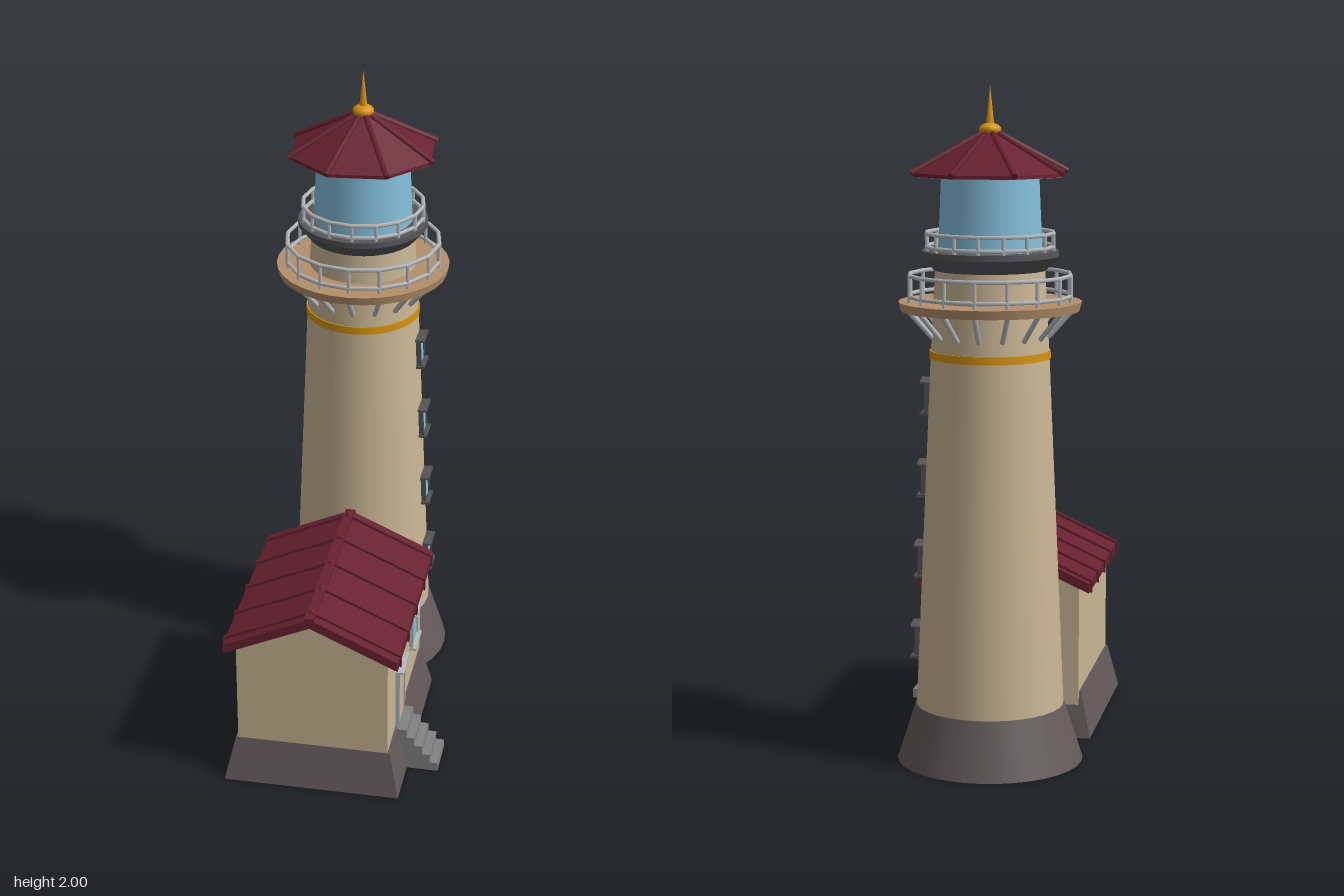
import * as THREE from 'three';

const mat = (name, color, extra = {}) => Object.assign(new THREE.MeshStandardMaterial({ color, ...extra }), { name });

export function createModel() {
  const M = {
    wall: mat('sandstone', 0xcbb795),
    stone: mat('dark stone', 0x64595b),
    roof: mat('dark red roof', 0x682130),
    deck: mat('tan deck', 0xb5906a),
    glass: mat('blue glass', 0x84c0dd),
    metal: mat('light grey metal', 0xb6babd),
    gold: mat('gold', 0xd4920f),
    dark: mat('dark grey trim', 0x555457),
    step: mat('step grey', 0x838383),
  };
  const model = new THREE.Group();
  model.name = 'lighthouse';

  const add = (parent, name, geo, m, x = 0, y = 0, z = 0) => {
    const mesh = new THREE.Mesh(geo, m);
    mesh.name = name;
    mesh.position.set(x, y, z);
    parent.add(mesh);
    return mesh;
  };
  const group = (name, parent, x = 0, y = 0, z = 0) => {
    const g = new THREE.Group();
    g.name = name;
    g.position.set(x, y, z);
    parent.add(g);
    return g;
  };
  // Round tier from y0 to y1
  const tier = (parent, name, r0, r1, y0, y1, m, n = 32) =>
    add(parent, name, new THREE.CylinderGeometry(r1, r0, y1 - y0, n), m, 0, (y0 + y1) / 2, 0);
  // Round bar between two points
  const bar = (parent, name, a, b, r, m, n = 6) => {
    const d = b.clone().sub(a);
    const mesh = add(parent, name, new THREE.CylinderGeometry(r, r, d.length(), n), m);
    mesh.position.copy(a).addScaledVector(d, 0.5);
    mesh.quaternion.setFromUnitVectors(new THREE.Vector3(0, 1, 0), d.normalize());
    return mesh;
  };
  const polar = (r, y, a) => new THREE.Vector3(Math.sin(a) * r, y, Math.cos(a) * r);
  const extrude = (pts, depth) => new THREE.ExtrudeGeometry(
    new THREE.Shape(pts.map(p => new THREE.Vector2(...p))), { depth, bevelEnabled: false });

  // ---- Tower ----
  const tower = group('tower', model, -0.05, 0, -0.3);
  tier(tower, 'towerBase', 0.277, 0.222, 0, 0.17, M.stone);
  tier(tower, 'towerShaft', 0.219, 0.174, 0.17, 1.21, M.wall);
  tier(tower, 'goldBand', 0.178, 0.177, 1.207, 1.23, M.gold);
  tier(tower, 'towerNeck', 0.173, 0.16, 1.23, 1.47, M.wall);
  tier(tower, 'galleryDeck', 0.262, 0.268, 1.347, 1.373, M.deck);
  tier(tower, 'lanternCollar', 0.165, 0.198, 1.465, 1.505, M.dark);
  tier(tower, 'lanternDeck', 0.2, 0.2, 1.505, 1.522, M.dark);
  tier(tower, 'lanternGlass', 0.154, 0.144, 1.522, 1.75, M.glass, 16);

  // Sloping brackets under the gallery
  for (let i = 0; i < 16; i++) {
    const a = i * Math.PI / 8;
    bar(tower, 'galleryBracket', polar(0.172, 1.27, a), polar(0.243, 1.35, a), 0.008, M.metal);
  }

  // Railings
  const railing = (name, r, y0, y1, n) => {
    const g = group(name, tower);
    for (const y of [y0 + (y1 - y0) * 0.25, y1]) {
      const rail = add(g, 'rail', new THREE.TorusGeometry(r, 0.0065, 6, n), M.metal, 0, y, 0);
      rail.rotation.x = Math.PI / 2;
    }
    for (let i = 0; i < n; i++) {
      const a = i * 2 * Math.PI / n + Math.PI / 2;
      bar(g, 'post', polar(r, y0, a), polar(r, y1, a), 0.006, M.metal);
    }
  };
  railing('galleryRailing', 0.238, 1.37, 1.45, 16);
  railing('lanternRailing', 0.187, 1.52, 1.572, 16);

  // Eight-sided roof with ridge ribs and finial
  const turn = 27.7 * Math.PI / 180;
  const cone = (name, r0, r1, y0, y1, m, open) => add(tower, name,
    new THREE.CylinderGeometry(r1, r0, y1 - y0, 8, 1, open, turn).toNonIndexed(), m, 0, (y0 + y1) / 2, 0)
    .geometry.computeVertexNormals();
  cone('lanternRoof', 0.23, 0.022, 1.748, 1.86, M.roof, true);
  cone('roofEave', 0.23, 0.23, 1.738, 1.748, M.roof, true);
  cone('roofUnderside', 0.229, 0.229, 1.737, 1.741, M.deck, false);
  for (let i = 0; i < 8; i++) {
    const a = turn + i * Math.PI / 4;
    bar(tower, 'roofRib', polar(0.236, 1.748, a), polar(0.02, 1.862, a), 0.009, M.roof);
  }
  add(tower, 'finialBall', new THREE.SphereGeometry(0.033, 16, 10), M.gold, 0, 1.87, 0).scale.y = 0.6;
  add(tower, 'finialSpike', new THREE.ConeGeometry(0.013, 0.125, 10), M.gold, 0, 1.9375, 0);

  // ---- Openings, built facing +z and turned to +x ----
  const opening = (name, parent, w, h, fill, trim, t, x, y, z, sill = true) => {
    const g = group(name, parent, x, y, z);
    g.rotation.y = Math.PI / 2;
    add(g, 'pane', new THREE.BoxGeometry(w, h, 0.009), fill, 0, h / 2, 0.003);
    for (const s of [-1, 1])
      add(g, 'jamb', new THREE.BoxGeometry(t, h, 0.024), trim, s * (w + t) / 2, h / 2, 0);
    if (sill) add(g, 'sill', new THREE.BoxGeometry(w + 4 * t, t * 1.3, 0.044), trim, 0, 0, 0);
    const e = w / 2 + 2 * t;
    const hood = [[-e, 0], [e, 0], [e, 0.006], [e * 0.5, 0.014], [0, 0.017], [-e * 0.5, 0.014], [-e, 0.006]];
    add(g, 'hood', extrude(hood, 0.045), trim, 0, h, -0.02);
    return g;
  };
  const slope = 0.045 / 1.04;
  for (const y of [0.305, 0.55, 0.795, 1.04]) {
    const r = 0.219 - slope * (y + 0.05 - 0.17);
    const w = opening('towerWindow', tower, 0.06, 0.088, M.glass, M.dark, 0.006, r + 0.002, y, 0);
    w.rotation.order = 'YXZ';
    w.rotation.x = -slope;
  }

  // ---- House ----
  const house = group('house', model, -0.048, 0, 0);
  // Plinth with sloping sides
  const plinth = (name, w, d, inset, h, z, insetZ = inset) => {
    const geo = new THREE.BoxGeometry(w, h, d);
    const p = geo.attributes.position;
    for (let i = 0; i < p.count; i++) if (p.getY(i) > 0) {
      p.setX(i, p.getX(i) * (1 - 2 * inset / w));
      p.setZ(i, p.getZ(i) * (1 - 2 * insetZ / d));
    }
    geo.computeVertexNormals();
    add(house, name, geo, M.stone, 0, h / 2, z);
  };
  // Gabled wall block and folded roof slab, both running along z
  const gable = (name, w, eave, ridge, z0, z1) => add(house, name,
    extrude([[-w, 0.1], [w, 0.1], [w, eave], [0, ridge], [-w, eave]], z1 - z0), M.wall, 0, 0, z0);
  const slab = (name, w, eave, ridge, t, z0, z1) => add(house, name,
    extrude([[-w, eave - t], [0, ridge - t], [w, eave - t], [w, eave], [0, ridge], [-w, eave]], z1 - z0),
    M.roof, 0, 0, z0);

  plinth('housePlinth', 0.54, 0.647, 0.032, 0.14, 0.2535);
  gable('houseWalls', 0.231, 0.475, 0.585, -0.05, 0.545);
  slab('houseRoof', 0.265, 0.488, 0.608, 0.03, -0.075, 0.572);
  for (const z of [-0.04, 0.1, 0.247, 0.395, 0.533])
    slab('roofSeam', 0.27, 0.494, 0.617, 0.04, z - 0.008, z + 0.008);
  add(house, 'ridgeCap', new THREE.BoxGeometry(0.03, 0.014, 0.647), M.roof, 0, 0.605, 0.2485);

  // Passage joining house and tower
  plinth('passagePlinth', 0.34, 0.14, 0.03, 0.14, -0.07, 0);
  gable('passageWalls', 0.135, 0.4, 0.49, -0.15, -0.04);
  slab('passageRoof', 0.17, 0.412, 0.515, 0.028, -0.118, -0.04);

  // Door, window and steps on the left side
  opening('houseDoor', house, 0.095, 0.2, M.wall, M.metal, 0.005, 0.232, 0.138, 0.353, false);
  opening('houseWindow', house, 0.085, 0.118, M.glass, M.metal, 0.006, 0.232, 0.267, 0.11);
  const steps = group('doorSteps', model);
  for (let i = 0; i < 5; i++) {
    const x1 = 0.318 - i * 0.0245, h = 0.028 * (i + 1);
    add(steps, 'step', new THREE.BoxGeometry(x1 - 0.17, h, 0.127), M.step, (x1 + 0.17) / 2, h / 2, 0.353);
  }
  return model;
}
